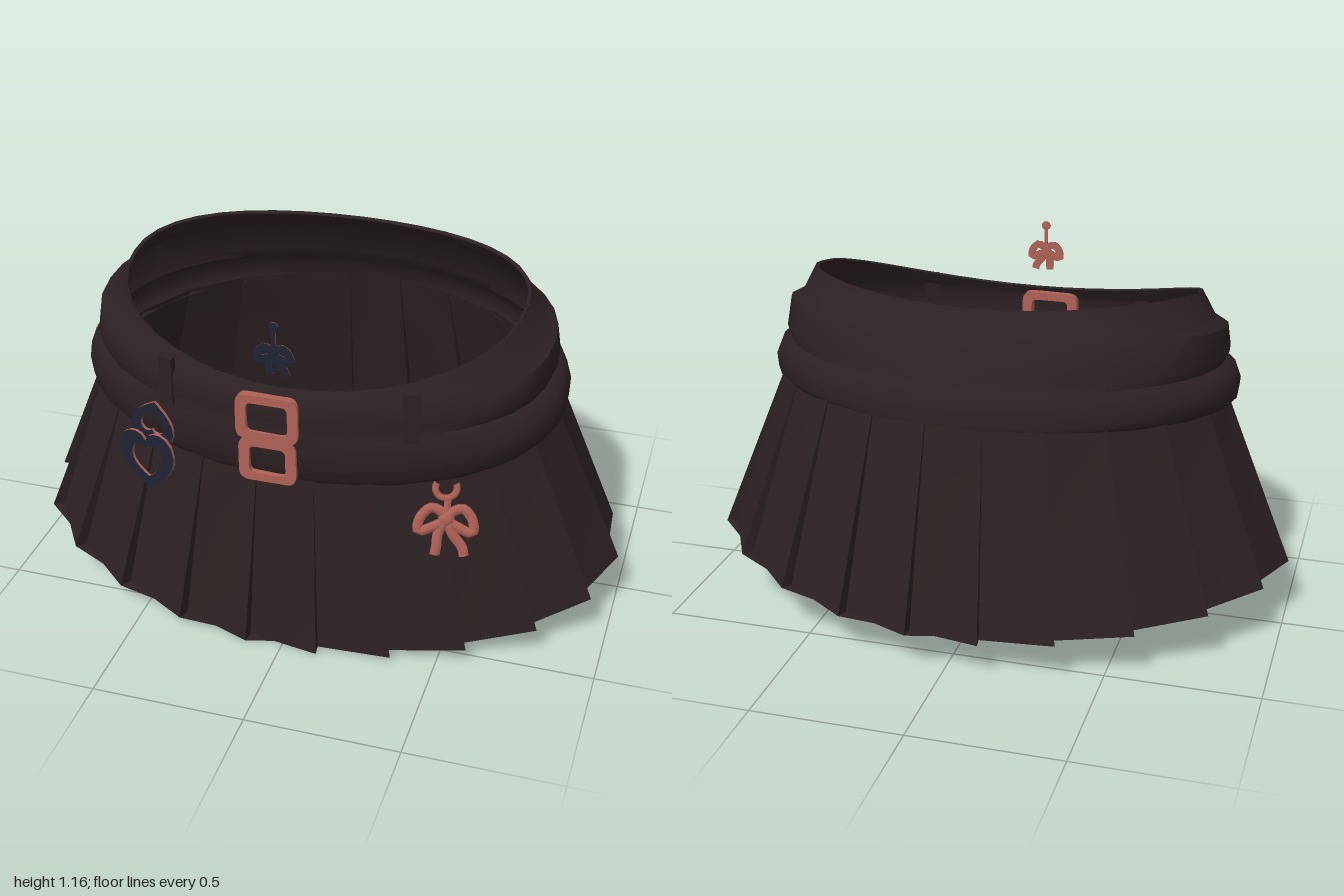
import * as THREE from 'three';
import { toCreasedNormals } from 'three/addons/utils/BufferGeometryUtils.js';

const mat = (name, color, side = THREE.FrontSide) => {
  const m = new THREE.MeshStandardMaterial({ color, side });
  m.name = name;
  return m;
};

// A tilted oval ring: heights at front, side and back; half width; front, back and widest z
const ring = (yF, yS, yB, rx, zF, zB, zc = 0.12) => ({ yF, yS, yB, rx, zF, zB, zc });

function ringPoint(r, a, out = 0) {
  const s = Math.cos(a);
  const y = r.yS + s * (r.yF - r.yB) / 2 + s * s * ((r.yF + r.yB) / 2 - r.yS);
  const z = s > 0 ? r.zc + (r.zF - r.zc + out) * Math.pow(s, 0.85) : r.zc + (r.zc - r.zB + out) * s;
  return new THREE.Vector3((r.rx + out) * Math.sin(a), y, z);
}

function mixRing(a, b, t) {
  const r = {};
  for (const k in a) r[k] = a[k] + (b[k] - a[k]) * t;
  return r;
}

// Surface through rows of points
function loft(rows, crease) {
  const pos = [], idx = [], n = rows[0].length;
  rows.forEach(row => row.forEach(p => pos.push(p.x, p.y, p.z)));
  for (let i = 0; i < rows.length - 1; i++) {
    for (let j = 0; j < n; j++) {
      const k = (j + 1) % n;
      const a = i * n + j, b = i * n + k, c = b + n, d = a + n;
      idx.push(a, b, c, a, c, d);
    }
  }
  const g = new THREE.BufferGeometry();
  g.setAttribute('position', new THREE.Float32BufferAttribute(pos, 3));
  g.setIndex(idx);
  return toCreasedNormals(g, crease);
}

function roundRect(T, w, h, r) {
  const s = new T(), x = w / 2, y = h / 2;
  s.moveTo(-x + r, -y);
  s.lineTo(x - r, -y); s.quadraticCurveTo(x, -y, x, -y + r);
  s.lineTo(x, y - r); s.quadraticCurveTo(x, y, x - r, y);
  s.lineTo(-x + r, y); s.quadraticCurveTo(-x, y, -x, y - r);
  s.lineTo(-x, -y + r); s.quadraticCurveTo(-x, -y, -x + r, -y);
  return s;
}

function heart(T, w, h) {
  const s = new T();
  s.moveTo(0, -h / 2);
  s.bezierCurveTo(w * 0.3, -h * 0.3, w * 0.5, -h * 0.1, w * 0.5, h * 0.15);
  s.bezierCurveTo(w * 0.5, h * 0.55, w * 0.08, h * 0.6, 0, h * 0.36);
  s.bezierCurveTo(-w * 0.08, h * 0.6, -w * 0.5, h * 0.55, -w * 0.5, h * 0.15);
  s.bezierCurveTo(-w * 0.5, -h * 0.1, -w * 0.3, -h * 0.3, 0, -h / 2);
  return s;
}

function frame(outline, hole, depth) {
  outline.holes.push(hole);
  const g = new THREE.ExtrudeGeometry(outline, { depth, bevelEnabled: false, curveSegments: 6 });
  return g.translate(0, 0, -depth / 2);
}

export function createModel() {
  const model = new THREE.Group();
  const fabric = mat('dark brown fabric', 0x2c2122, THREE.DoubleSide);
  const copper = mat('copper pink', 0xb06156);
  const navy = mat('dark navy', 0x1f2433);

  const add = (name, geo, material, parent = model) => {
    const m = new THREE.Mesh(geo, material);
    m.name = name;
    parent.add(m);
    return m;
  };
  const group = (name, x, y, z) => {
    const g = new THREE.Group();
    g.name = name;
    g.position.set(x, y, z);
    model.add(g);
    return g;
  };

  // Pleated skirt: each pleat swings from an inner to an outer edge
  const PLEATS = 22;
  const hem = ring(0.003, 0.193, 0.125, 0.962, 0.605, -0.605, 0.09);
  const top = ring(0.63, 0.74, 0.81, 0.765, 0.56, -0.475);
  const skirtRow = t => {
    const r = mixRing(hem, top, t), depth = 0.038 - 0.034 * t, row = [];
    for (let k = 0; k < PLEATS; k++) {
      for (const f of [0, 1]) {
        const u = (k + 0.5 + f) / PLEATS * Math.PI * 2;
        row.push(ringPoint(r, u - 0.08 * Math.sin(2 * u), f * depth));
      }
    }
    return row;
  };
  const hemRow = skirtRow(0);
  add('pleatedSkirt', loft([0, 0.35, 0.7, 1].map(skirtRow), 0.25), fabric);

  // Folded waistband in two padded bands with a narrowing rim
  const bands = [
    ring(0.61, 0.72, 0.79, 0.76, 0.56, -0.485),
    ring(0.64, 0.75, 0.80, 0.79, 0.58, -0.485),
    ring(0.72, 0.80, 0.85, 0.797, 0.587, -0.47),
    ring(0.785, 0.855, 0.89, 0.775, 0.587, -0.45),
    ring(0.80, 0.87, 0.90, 0.742, 0.583, -0.44),
    ring(0.83, 0.905, 0.93, 0.757, 0.587, -0.425),
    ring(0.88, 0.99, 1.05, 0.745, 0.587, -0.37),
    ring(0.90, 1.015, 1.065, 0.70, 0.58, -0.35),
    ring(0.935, 1.1, 1.12, 0.655, 0.558, -0.305),
    ring(0.93, 1.095, 1.115, 0.645, 0.55, -0.29),
  ];
  const SEG = 40;
  const bandRows = bands.map(r =>
    Array.from({ length: SEG }, (_, j) => ringPoint(r, j / SEG * Math.PI * 2)));
  add('waistband', loft(bandRows, 0.8), fabric);

  // Belt loops either side of the buckle
  for (const s of [-1, 1]) {
    const loop = add('beltLoop', new THREE.BoxGeometry(0.05, 0.17, 0.02), fabric);
    loop.position.set(s * 0.39, 0.875, 0.522);
    loop.rotation.y = s * 0.35;
  }

  // Underside panel in two halves, each with a leg opening, meeting in a sagging strip
  const legHole = [[0.045, 0.15], [0.2, 0.4], [0.48, 0.465], [0.68, 0.33], [0.75, 0.1],
    [0.62, -0.14], [0.41, -0.26], [0.18, -0.28], [0.06, -0.11]];
  const strip = [[0, -0.605, 0.125], [0, -0.1, 0.065], [0, 0.17, 0.07], [0, 0.605, 0.003]];
  const toVec = ([x, z]) => new THREE.Vector2(x, z);
  for (const s of [-1, 1]) {
    const rim = hemRow.filter(p => p.x * s > 0).sort((a, b) =>
      Math.atan2(a.x * s, a.z) - Math.atan2(b.x * s, b.z)).map(p => [p.x, p.z, p.y]);
    const edge = [...rim, ...strip];
    const half = new THREE.Shape(edge.map(toVec));
    half.holes.push(new THREE.Path(legHole.map(([x, z]) => new THREE.Vector2(s * x, z))));
    const geo = new THREE.ShapeGeometry(half);
    const pp = geo.attributes.position;
    for (let i = 0; i < pp.count; i++) {
      const x = pp.getX(i), z = pp.getY(i);
      const onEdge = edge.find(p => Math.hypot(p[0] - x, p[1] - z) < 1e-4);
      const inner = z > 0.12 ? 0.08 : 0.12;
      pp.setXYZ(i, x, onEdge ? onEdge[2] : inner + (0.195 - inner) * Math.min(1, Math.abs(x) / 0.75), z);
    }
    add('undersidePanel', toCreasedNormals(geo, 0.4), fabric);
  }

  // Double buckle, set through the waistband
  const buckle = group('buckle', -0.045, 0, 0.57);
  for (const [y, w, h] of [[0.835, 0.2, 0.155], [0.685, 0.185, 0.15]]) {
    const g = frame(roundRect(THREE.Shape, w, h, 0.035),
      roundRect(THREE.Path, w - 0.068, h - 0.055, 0.02), 0.05);
    add('buckleFrame', g, copper, buckle).position.y = y;
  }

  // Linked heart charms with thin copper edges
  const hearts = group('heartCharms', -0.44, 0, 0.578);
  hearts.rotation.y = -0.2;
  const big = add('largeHeart', frame(heart(THREE.Shape, 0.2, 0.205),
    heart(THREE.Path, 0.11, 0.115), 0.01), [navy, copper], hearts);
  big.position.set(0, 0.615, 0.012);
  big.rotation.z = 0.05;
  const small = add('smallHeart', frame(heart(THREE.Shape, 0.155, 0.15),
    heart(THREE.Path, 0.085, 0.075), 0.01), [navy, copper], hearts);
  small.position.set(0.02, 0.757, 0);
  small.rotation.z = Math.PI - 0.15;

  // Ribbon bow: drooping loops, tails and a knot
  const tube = (pts, r, closed) => new THREE.TubeGeometry(
    new THREE.CatmullRomCurve3(pts.map(([x, y]) => new THREE.Vector3(x, y, 0)), closed), 20, r, 6, closed);
  const addBow = (parent, material, r) => {
    for (const s of [-1, 1]) {
      add('bowLoop', tube([[0, 0], [s * 0.045, 0.035], [s * 0.08, 0],
        [s * 0.084, -0.045], [s * 0.042, -0.03]], r, true), material, parent);
      add('bowTail', tube([[0, 0], [s * 0.022, -0.05], [s * 0.04 + 0.016, -0.095],
        [s * 0.045 + 0.018, -0.122]], r, false), material, parent);
    }
    add('bowKnot', new THREE.SphereGeometry(0.026, 10, 8), material, parent);
  };

  // Hanging bow charm with an open hook
  const bow = group('hangingBow', 0.51, 0.547, 0.537);
  bow.rotation.set(-0.2, 0.3, 0);
  bow.scale.z = 0.5;
  addBow(bow, copper, 0.0175);
  const hook = add('bowHook', new THREE.TorusGeometry(0.033, 0.011, 6, 16, 4.2), copper, bow);
  hook.position.set(-0.008, 0.1, 0);
  hook.rotation.z = 2.62;
  add('bowStem', new THREE.CylinderGeometry(0.012, 0.012, 0.06, 6), copper, bow).position.y = 0.04;

  // Small flat bow pin, navy in front and copper behind
  for (const [name, material, z] of [['bowPinFront', navy, 0.585], ['bowPinBack', copper, 0.5825]]) {
    const pin = group(name, -0.02, 1.062, z);
    pin.scale.set(0.6, 0.58, 0.05);
    addBow(pin, material, 0.025);
    add('pinStem', new THREE.CylinderGeometry(0.012, 0.012, 0.15, 6), material, pin).position.y = 0.075;
    add('pinHead', new THREE.SphereGeometry(0.027, 10, 8), material, pin).position.y = 0.155;
  }

  return model;
}
